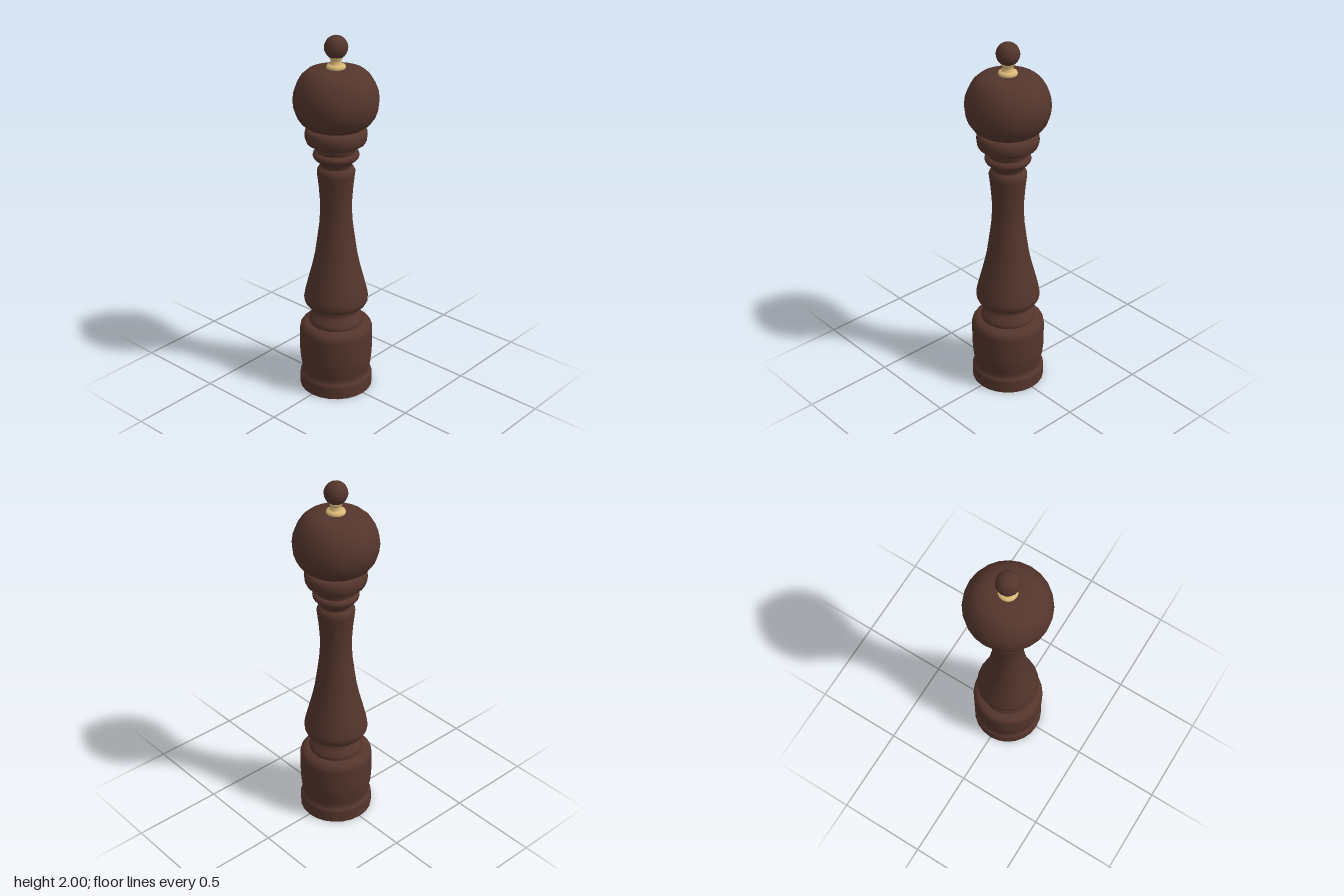
import * as THREE from 'three';

const wood = new THREE.MeshStandardMaterial({ color: 0x54352c });
wood.name = 'darkWood';
const brass = new THREE.MeshStandardMaterial({ color: 0xd9b877 });
brass.name = 'paleBrass';

// Turned section from [radius, height] pairs, bottom to top
function turned(name, profile, material = wood, segments = 24) {
  const points = profile.map(([r, y]) => new THREE.Vector2(r, y));
  const mesh = new THREE.Mesh(new THREE.LatheGeometry(points, segments), material);
  mesh.name = name;
  return mesh;
}

export function createModel() {
  const group = new THREE.Group();
  group.name = 'pepperMill';

  // Flat underside
  group.add(turned('underside', [[0, 0], [0.2, 0]]));

  // Foot ring and the cove above it
  group.add(turned('footRing', [[0.2, 0], [0.2, 0.065], [0.196, 0.075]]));
  group.add(turned('footCove', [[0.196, 0.075], [0.187, 0.085], [0.184, 0.1], [0.188, 0.12], [0.194, 0.15], [0.199, 0.2]]));

  // Grinder drum with rounded shoulder
  group.add(turned('drum', [[0.199, 0.2], [0.2, 0.25], [0.2, 0.345], [0.196, 0.365], [0.185, 0.38], [0.168, 0.39], [0.147, 0.393]]));

  // Stepped collar between drum and body
  group.add(turned('lowerCollar', [[0.147, 0.393], [0.149, 0.405], [0.146, 0.418], [0.132, 0.437], [0.122, 0.455], [0.118, 0.468]]));
  group.add(turned('lowerBead', [[0.118, 0.468], [0.13, 0.471], [0.133, 0.478], [0.128, 0.488]]));

  // Waisted body
  group.add(turned('body', [
    [0.122, 0.487], [0.145, 0.492], [0.163, 0.505], [0.173, 0.525], [0.174, 0.545], [0.169, 0.575],
    [0.15, 0.65], [0.129, 0.73], [0.114, 0.8], [0.101, 0.89], [0.089, 0.98], [0.085, 1.04],
    [0.085, 1.11], [0.091, 1.19], [0.1, 1.265],
  ]));
  group.add(turned('bodyShoulder', [[0.1, 1.265], [0.1, 1.28], [0.094, 1.295], [0.082, 1.305]]));

  // Neck mouldings
  group.add(turned('neckCove', [[0.082, 1.305], [0.085, 1.32], [0.094, 1.333], [0.11, 1.345]]));
  group.add(turned('neckBead', [[0.11, 1.345], [0.119, 1.356], [0.122, 1.367], [0.118, 1.38], [0.103, 1.386]]));
  group.add(turned('neckGroove', [[0.103, 1.386], [0.105, 1.4], [0.11, 1.412], [0.112, 1.424]]));

  // Thick ring under the head
  group.add(turned('headRing', [[0.1, 1.424], [0.135, 1.427], [0.153, 1.438], [0.16, 1.455], [0.163, 1.478], [0.16, 1.5], [0.148, 1.515], [0.11, 1.519]]));

  // Round head
  group.add(turned('head', [
    [0.11, 1.517], [0.15, 1.526], [0.18, 1.547], [0.203, 1.58], [0.217, 1.62], [0.222, 1.665],
    [0.216, 1.71], [0.2, 1.752], [0.177, 1.79], [0.147, 1.816], [0.11, 1.828], [0.06, 1.831], [0, 1.831],
  ]));

  // Brass spindle collar
  group.add(turned('spindleCollar', [[0.048, 1.83], [0.05, 1.838], [0.047, 1.847], [0.034, 1.852]], brass, 16));
  group.add(turned('spindle', [[0.034, 1.852], [0.028, 1.862], [0.028, 1.874], [0.034, 1.884], [0.036, 1.892], [0, 1.9]], brass, 16));

  // Knob
  const knob = new THREE.Mesh(new THREE.SphereGeometry(0.061, 16, 12), wood);
  knob.name = 'knob';
  knob.position.y = 1.939;
  group.add(knob);

  // Lathe faces must be seen from outside on the flat underside too
  wood.side = THREE.DoubleSide;
  return group;
}
